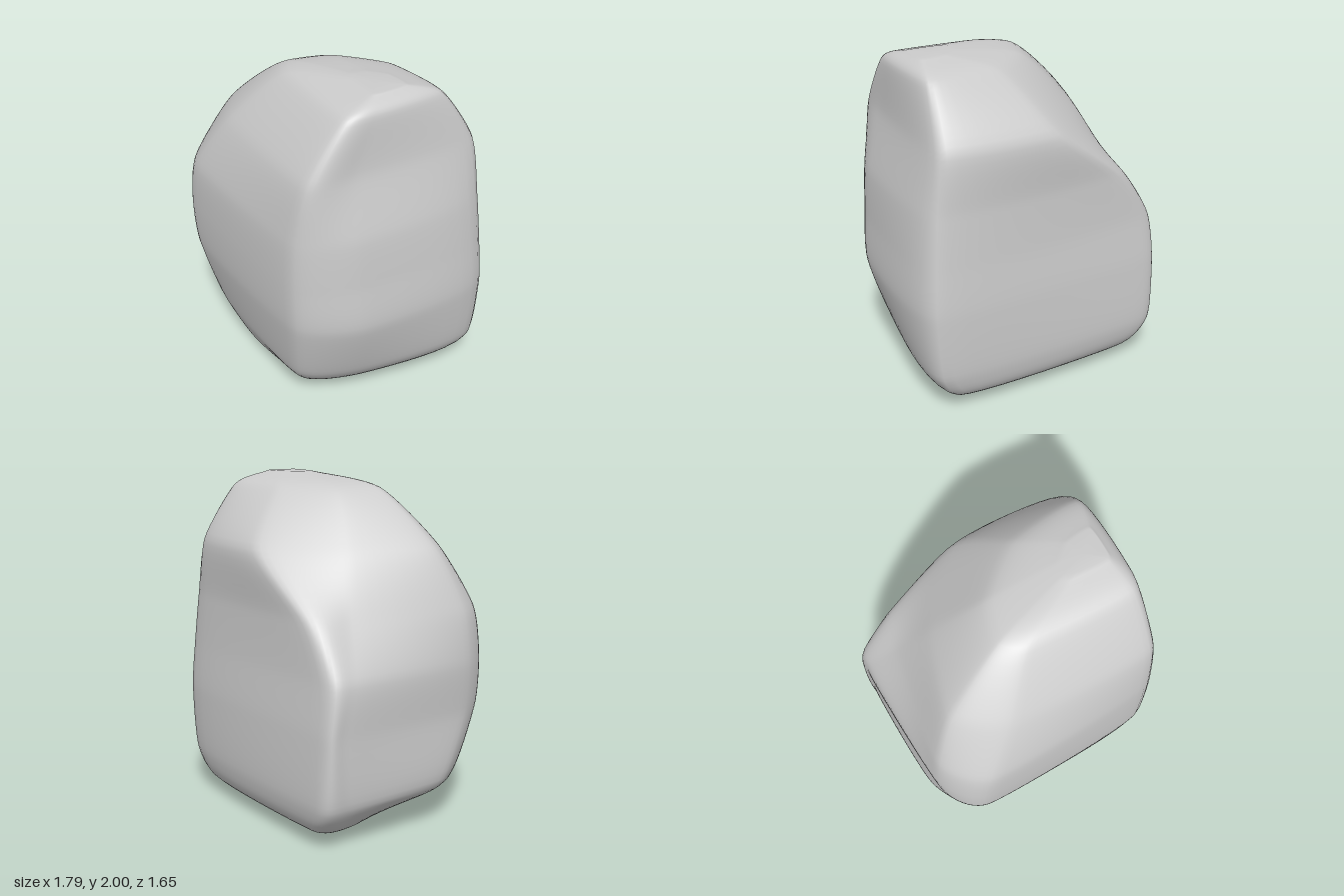
import * as THREE from 'three';

// Rock cross-sections from bottom to top: height, then x,z of seven corners
// (back, right, front right, front, front left, left, back left).
const sections = [
  [0.07, -.27, -.67, .67, -.16, .36, .35, .08, .56, -.44, .36, -.49, -.03, -.42, -.52],
  [0.25, -.35, -.81, .84, -.16, .45, .49, .10, .71, -.69, .29, -.79, -.10, -.51, -.69],
  [0.65, -.36, -.80, .88, -.15, .52, .61, .15, .81, -.79, .35, -.87, .05, -.51, -.72],
  [0.95, -.35, -.76, .86, -.14, .50, .62, .15, .82, -.80, .37, -.89, .05, -.53, -.66],
  [1.25, -.20, -.68, .83, -.13, .48, .61, .16, .81, -.75, .38, -.85, .05, -.42, -.51],
  [1.60, .19, -.50, .78, -.12, .42, .55, .22, .76, -.52, .35, -.67, .04, -.30, -.32],
  [1.92, .25, -.15, .65, .03, .47, .43, .33, .56, -.20, .25, -.28, .10, -.10, -.08],
];

const AROUND = 70, UP = 64;

function cornersOf([y, ...xz]) {
  return Array.from({ length: xz.length / 2 }, (_, i) => new THREE.Vector3(xz[2 * i], y, xz[2 * i + 1]));
}

// Shrinks a section towards a point to make the flat end beyond it
function shrink(corners, x, y, z, scale) {
  const target = new THREE.Vector3(x, y, z);
  return corners.map((p) => new THREE.Vector3(p.x, y, p.z).sub(target).multiplyScalar(scale).add(target));
}

function createRockGeometry() {
  const rings = sections.map(cornersOf);
  const base = shrink(rings[0], -0.25, 0, 0.3, 0.45);
  const crown = shrink(rings[rings.length - 1], 0.43, 2, 0.25, 0.3);

  // Round each section into a closed loop
  const loops = [base, ...rings, crown].map((corners) => {
    const curve = new THREE.CatmullRomCurve3(corners, true, 'catmullrom', 0.27);
    return Array.from({ length: AROUND }, (_, i) => curve.getPoint(i / AROUND));
  });

  // Run a smooth curve up through the loops for each column
  const positions = [], index = [];
  for (let i = 0; i < AROUND; i++) {
    const curve = new THREE.CatmullRomCurve3(loops.map((l) => l[i]), false, 'catmullrom', 0.35);
    for (const p of curve.getPoints(UP)) positions.push(p.x, p.y, p.z);
  }

  // Centres that close the bottom and the top
  for (const loop of [loops[0], loops[loops.length - 1]]) {
    const centre = new THREE.Vector3();
    loop.forEach((p) => centre.addScaledVector(p, 1 / AROUND));
    positions.push(centre.x, centre.y, centre.z);
  }

  const rows = UP + 1;
  const bottomId = AROUND * rows, topId = bottomId + 1;
  for (let i = 0; i < AROUND; i++) {
    const a = i * rows, b = ((i + 1) % AROUND) * rows;
    for (let j = 0; j < UP; j++) {
      index.push(a + j, a + j + 1, b + j, b + j, a + j + 1, b + j + 1);
    }
    index.push(bottomId, a, b, topId, b + UP, a + UP);
  }

  const geometry = new THREE.BufferGeometry();
  geometry.setAttribute('position', new THREE.Float32BufferAttribute(positions, 3));
  geometry.setIndex(index);
  geometry.computeVertexNormals();
  return geometry;
}

export function createModel() {
  const group = new THREE.Group();
  group.name = 'rock';
  const boulder = new THREE.Mesh(
    createRockGeometry(),
    new THREE.MeshStandardMaterial({ color: 0xcccccc })
  );
  boulder.name = 'boulder';
  group.add(boulder);
  return group;
}
